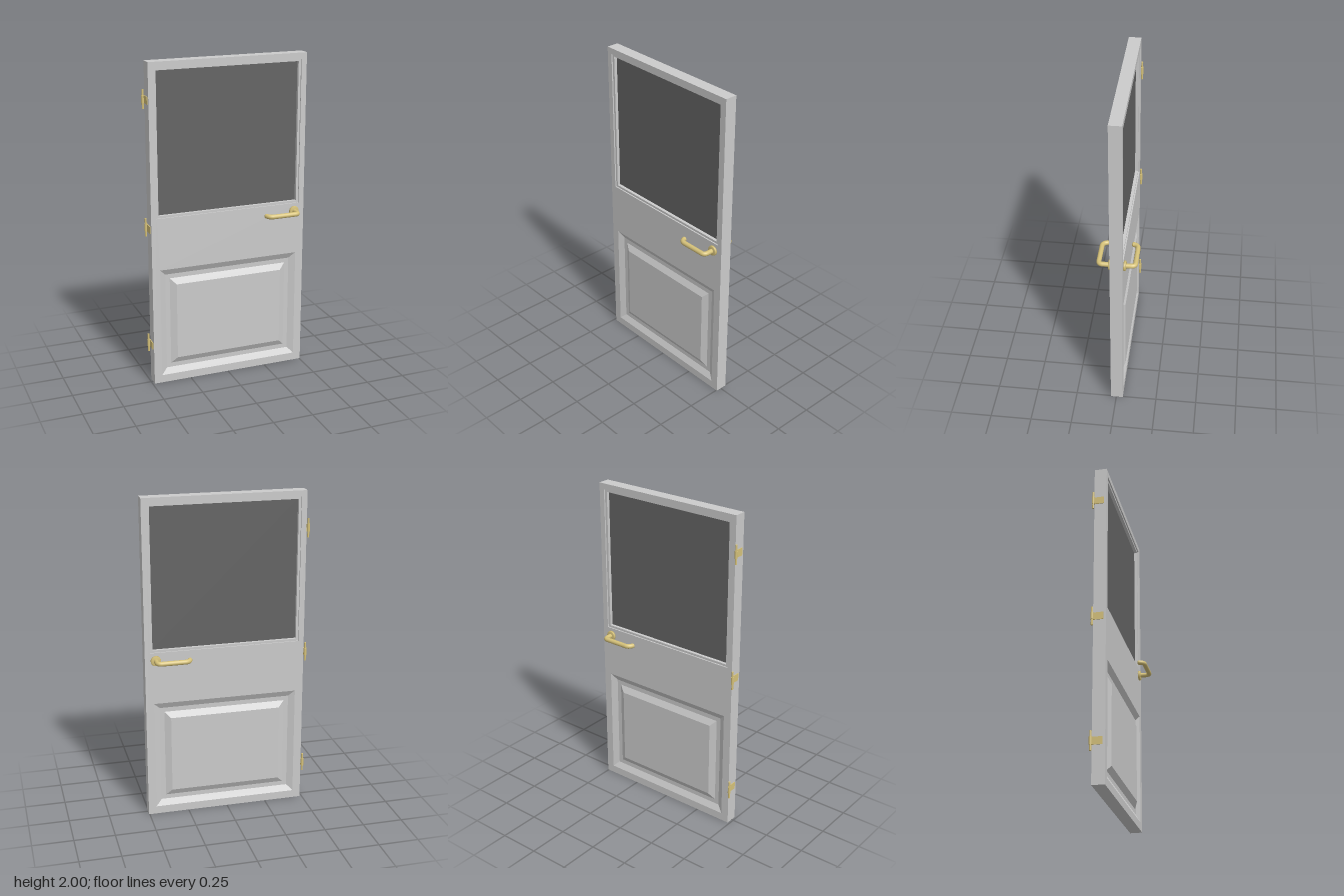
import * as THREE from 'three';

const gray = new THREE.MeshStandardMaterial({ color: 0xcbcbcb });
gray.name = 'door gray';
const dark = new THREE.MeshStandardMaterial({ color: 0x646464 });
dark.name = 'dark glass';
const gold = new THREE.MeshStandardMaterial({ color: 0xd6c27a });
gold.name = 'brass';

const CX = 0.009, ZF = 0.034, ZB = -0.041, ZM = (ZF + ZB) / 2;

function add(parent, name, geometry, material, x = 0, y = 0, z = 0) {
  const m = new THREE.Mesh(geometry, material);
  m.name = name;
  m.position.set(x, y, z);
  parent.add(m);
  return m;
}

// Rectangle centred on (x, y) with half sizes w and h
function trace(path, x, y, w, h) {
  path.moveTo(x - w, y - h);
  path.lineTo(x + w, y - h);
  path.lineTo(x + w, y + h);
  path.lineTo(x - w, y + h);
  path.closePath();
  return path;
}

// Plate with rectangular holes between two depths
function plate(outer, holes, z0, z1) {
  const s = trace(new THREE.Shape(), ...outer);
  holes.forEach((h) => s.holes.push(trace(new THREE.Path(), ...h)));
  return new THREE.ExtrudeGeometry(s, { depth: z1 - z0, bevelEnabled: false }).translate(0, 0, z0);
}

// Nested rectangular rings [inset, depth] closed by a flat centre; side is 1 front, -1 back
function raisedPanel([x, y, w, h], steps, zFace, side) {
  const rings = steps.map(([inset, depth]) => [[-1, -1], [1, -1], [1, 1], [-1, 1]].map(
    ([a, b]) => [x + a * (w - inset), y + b * (h - inset), zFace - side * depth]));
  const pos = [];
  const quad = (a, b, c, d) => {
    const list = side > 0 ? [a, b, c, a, c, d] : [a, c, b, a, d, c];
    list.forEach((p) => pos.push(...p));
  };
  for (let r = 0; r + 1 < rings.length; r++) {
    for (let i = 0; i < 4; i++) {
      const j = (i + 1) % 4;
      quad(rings[r][i], rings[r][j], rings[r + 1][j], rings[r + 1][i]);
    }
  }
  quad(...rings[rings.length - 1]);
  const g = new THREE.BufferGeometry();
  g.setAttribute('position', new THREE.Float32BufferAttribute(pos, 3));
  g.computeVertexNormals();
  return g;
}

// Lever handle with rosette; side is 1 front, -1 back
function handle(side) {
  const g = new THREE.Group();
  g.name = side > 0 ? 'frontHandle' : 'backHandle';
  const y = 1.02, r = 0.0145, x0 = 0.439, x1 = 0.238, zo = 0.107;
  const face = side > 0 ? ZF : -ZB;
  const v = (x, z) => new THREE.Vector3(x, y, side * z);

  const profile = [[0, -0.005], [0.031, -0.005], [0.031, 0.009], [0.028, 0.014], [0, 0.015]];
  const rosette = add(g, 'rosette',
    new THREE.LatheGeometry(profile.map((p) => new THREE.Vector2(...p)), 32), gold, x0, y, side * face);
  rosette.rotation.x = side * Math.PI / 2;

  const path = new THREE.CurvePath();
  path.add(new THREE.LineCurve3(v(x0, face), v(x0, zo - 0.025)));
  path.add(new THREE.QuadraticBezierCurve3(v(x0, zo - 0.025), v(x0, zo), v(x0 - 0.025, zo)));
  path.add(new THREE.LineCurve3(v(x0 - 0.025, zo), v(x1 + 0.03, zo)));
  path.add(new THREE.QuadraticBezierCurve3(v(x1 + 0.03, zo), v(x1 + 0.005, zo - 0.004), v(x1, zo - 0.03)));
  add(g, 'lever', new THREE.TubeGeometry(path, 64, r, 16), gold);
  const tip = add(g, 'leverTip', new THREE.SphereGeometry(r, 16, 12), gold);
  tip.position.copy(v(x1, zo - 0.03));
  tip.scale.z = 0.7;
  return g;
}

function hinge(y) {
  const g = new THREE.Group();
  g.name = 'hinge';
  g.position.y = y;
  add(g, 'hingePin', new THREE.CylinderGeometry(0.006, 0.006, 0.115, 16), gold, -0.496, 0, -0.046);
  add(g, 'hingeKnuckle', new THREE.CylinderGeometry(0.009, 0.009, 0.045, 16), gold, -0.496, 0, -0.046);
  add(g, 'hingeLeaf', new THREE.BoxGeometry(0.005, 0.045, 0.062), gold, -0.489, 0, -0.012);
  return g;
}

export function createModel() {
  const door = new THREE.Group();
  door.name = 'door';

  const windowHole = [CX, 1.516, 0.462, 0.447];
  const glassArea = [CX, 1.516, 0.447, 0.433];
  const panelArea = [CX, 0.396, 0.447, 0.347];

  // Slab with openings for window and panel
  add(door, 'doorSlab', plate([CX, 1, 0.496, 1], [windowHole, panelArea], ZB, ZF), gray);

  // Recessed moulding and glass
  add(door, 'windowMoulding', plate(windowHole, [glassArea], ZB + 0.008, ZF - 0.008), gray);
  add(door, 'windowPane', new THREE.BoxGeometry(0.896, 0.868, 0.02), dark, CX, 1.516, ZM);

  // Bevelled lower panel on both faces
  const steps = [[0, 0], [0.038, 0.02], [0.066, 0.02], [0.104, 0]];
  add(door, 'frontPanel', raisedPanel(panelArea, steps, ZF, 1), gray);
  add(door, 'backPanel', raisedPanel(panelArea, steps, ZB, -1), gray);

  [1, -1].forEach((side) => door.add(handle(side)));
  [0.248, 1.0, 1.777].forEach((y) => door.add(hinge(y)));
  return door;
}
